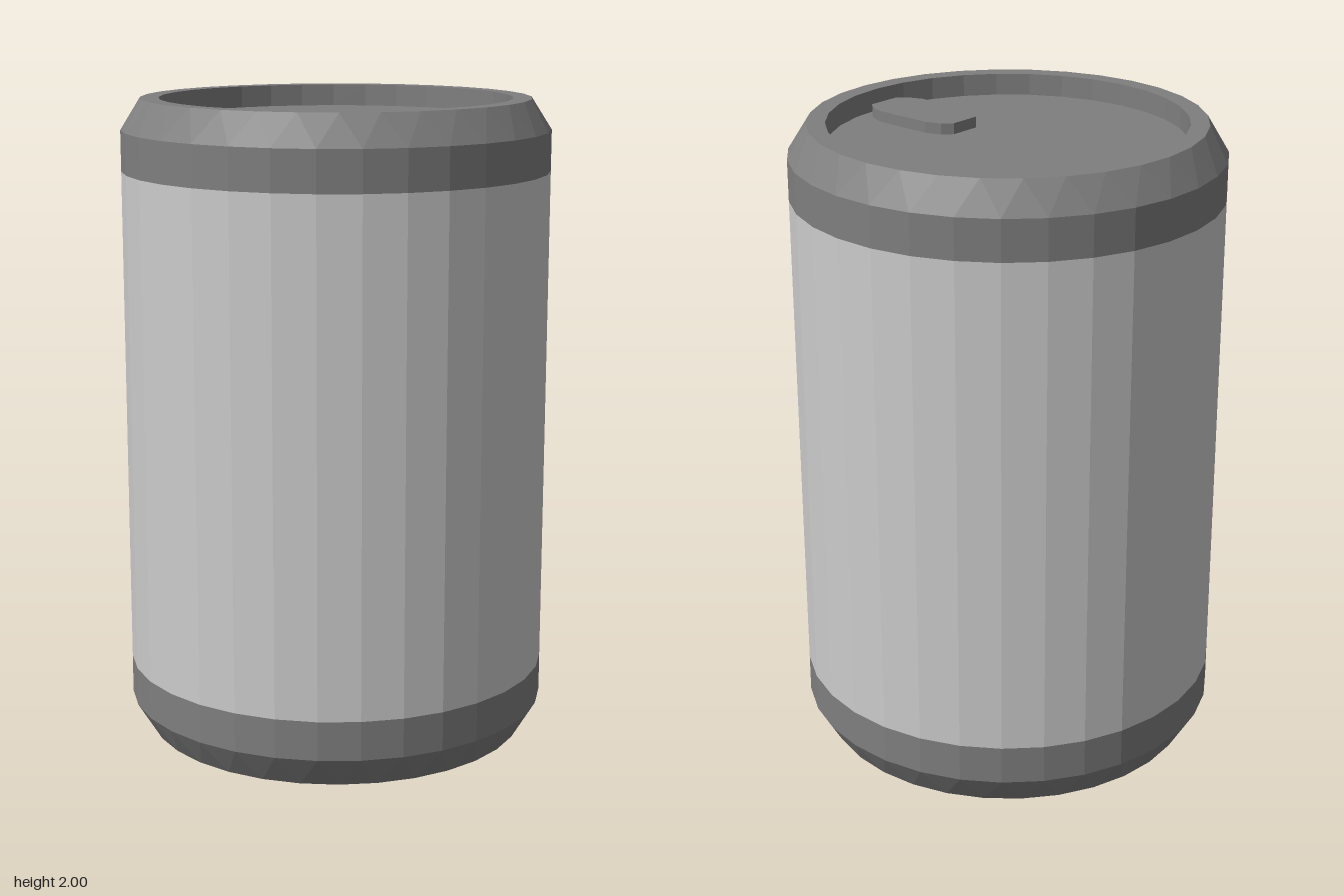
import * as THREE from 'three';

const SIDES = 32;
const darkMetal = new THREE.MeshStandardMaterial({ color: 0x7f7f7f, flatShading: true });
const paleMetal = new THREE.MeshStandardMaterial({ color: 0xcccccc, flatShading: true });

// Skin a list of rings [radius, y, twist in steps], running up the outside
function loft(rings) {
  const positions = [], index = [];
  for (const [r, y, twist] of rings) {
    for (let j = 0; j < SIDES; j++) {
      const a = ((j + twist) / SIDES) * Math.PI * 2;
      positions.push(r * Math.sin(a), y, r * Math.cos(a));
    }
  }
  for (let i = 0; i < rings.length - 1; i++) {
    for (let j = 0; j < SIDES; j++) {
      const k = (j + 1) % SIDES;
      const a = i * SIDES + j, b = i * SIDES + k;
      const c = b + SIDES, d = a + SIDES;
      if (rings[i][0] > 0) index.push(a, b, c);
      if (rings[i + 1][0] > 0) index.push(a, c, d);
    }
  }
  const indexed = new THREE.BufferGeometry();
  indexed.setAttribute('position', new THREE.Float32BufferAttribute(positions, 3));
  indexed.setIndex(index);
  const geometry = indexed.toNonIndexed();
  geometry.computeVertexNormals();
  return geometry;
}

// Flat pull tab with clipped corners and a rivet hole
function pullTabGeometry(thickness) {
  const half = [[0.173, 0.05], [0.2, 0.078], [0.25, 0.095], [0.44, 0.095], [0.485, 0.078], [0.513, 0.055]];
  const mirrored = half.map(([x, z]) => [x, -z]).reverse();
  const shape = new THREE.Shape([...half, ...mirrored].map(([x, z]) => new THREE.Vector2(x, z)));
  const hole = new THREE.Path();
  hole.absarc(0.256, 0, 0.034, 0, Math.PI * 2, true);
  shape.holes.push(hole);
  const geometry = new THREE.ExtrudeGeometry(shape, { depth: thickness, bevelEnabled: false, curveSegments: 8 });
  return geometry.rotateX(-Math.PI / 2);
}

export function createModel() {
  const can = new THREE.Group();
  can.name = 'drinkCan';
  const add = (name, geometry, material) => {
    const mesh = new THREE.Mesh(geometry, material);
    mesh.name = name;
    can.add(mesh);
    return mesh;
  };
  const radius = 0.66, rim = 0.6, lip = 0.543, lidY = 1.932;

  // Straight wall
  add('body', loft([[radius, 0.222, 0.5], [radius, 1.78, 0.5]]), paleMetal);

  // Shoulder, rim and sunken lid
  add('topEnd', loft([
    [radius, 1.78, 0.5], [radius, 1.905, 0.5], [rim, 2, 0],
    [lip, 2, 0], [lip, lidY, 0], [0, lidY, 0],
  ]), darkMetal);

  // Shallow recessed base, foot ring and lower band
  add('bottomEnd', loft([
    [0, 0.03, 1], [lip, 0.03, 1], [lip, 0, 1],
    [rim, 0, 1], [radius, 0.1, 0.5], [radius, 0.222, 0.5],
  ]), darkMetal);

  add('pullTab', pullTabGeometry(0.034), darkMetal).position.y = lidY;
  return can;
}
